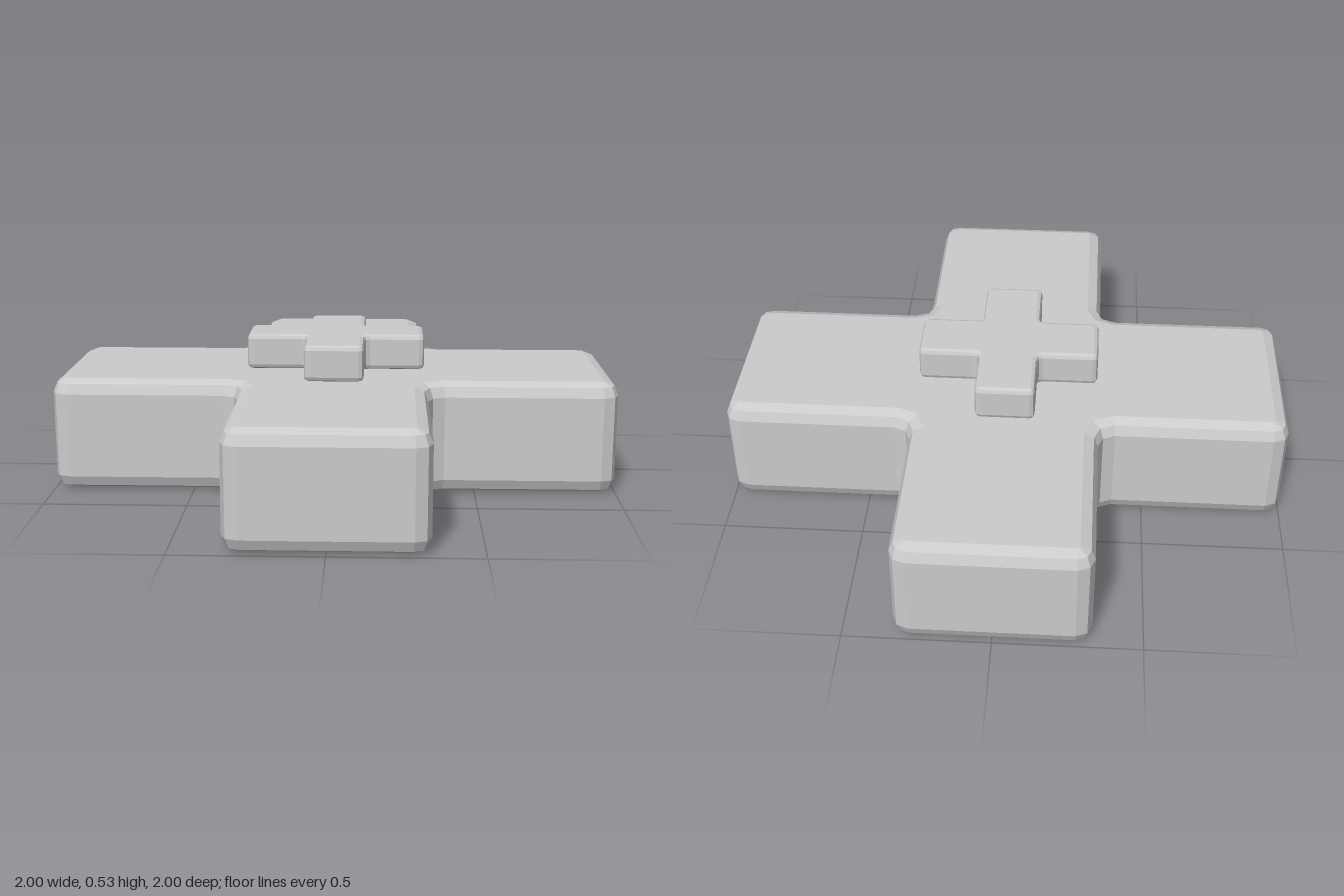
import * as THREE from 'three';

// Plus-shaped outline with every corner rounded in two steps
function plusShape(reach, half, outer, inner) {
  const points = [];
  const corner = (cx, cz, radius, start, sweep) => {
    for (let i = 0; i <= 2; i++) {
      const a = start + (sweep * i) / 2;
      points.push(new THREE.Vector2(cx + radius * Math.cos(a), cz + radius * Math.sin(a)));
    }
  };
  const q = Math.PI / 2;
  for (let k = 0; k < 4; k++) {
    const first = points.length;
    corner(reach - outer, -half + outer, outer, -q, q); // arm tip
    corner(reach - outer, half - outer, outer, 0, q);
    corner(half + inner, half + inner, inner, -q, -q); // hollow between arms
    for (const p of points.slice(first)) p.rotateAround(new THREE.Vector2(), k * q);
  }
  return new THREE.Shape(points);
}

// Plus-shaped slab lying flat, with rounded top and bottom edges
function plusSlab(name, { reach, half, outer, inner, bevel, bottom, top }) {
  const geometry = new THREE.ExtrudeGeometry(plusShape(reach, half, outer, inner), {
    depth: top - bottom - 2 * bevel,
    bevelEnabled: true,
    bevelSize: bevel,
    bevelOffset: -bevel,
    bevelThickness: bevel,
    bevelSegments: 2,
  });
  geometry.rotateX(-Math.PI / 2);
  geometry.translate(0, bottom + bevel, 0);
  const material = new THREE.MeshStandardMaterial({ color: 0xcccccc, flatShading: true });
  const mesh = new THREE.Mesh(geometry, material);
  mesh.name = name;
  return mesh;
}

export function createModel() {
  const group = new THREE.Group();
  group.name = 'crossBlock';
  group.add(
    plusSlab('baseCross', {
      reach: 1, half: 0.33, outer: 0.055, inner: 0.06, bevel: 0.05, bottom: 0, top: 0.4,
    }),
    plusSlab('raisedCross', {
      reach: 0.322, half: 0.105, outer: 0.018, inner: 0.02, bevel: 0.016, bottom: 0.4, top: 0.527,
    }),
  );
  return group;
}
